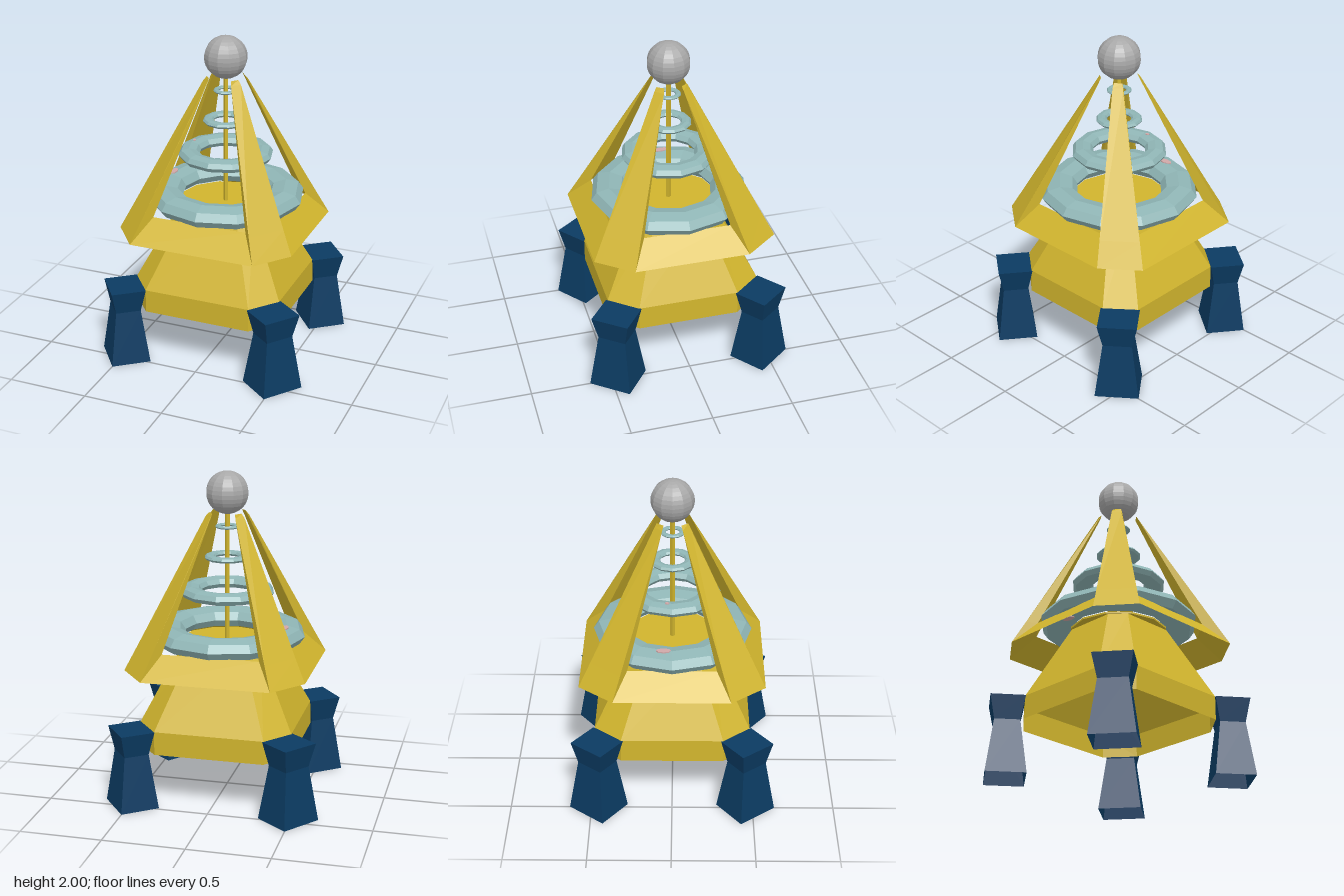
import * as THREE from 'three';

const mat = (name, color, side = THREE.FrontSide) => {
  const m = new THREE.MeshStandardMaterial({ color, flatShading: true, side });
  m.name = name;
  return m;
};

// Joins closed loops of points (counter-clockwise seen from above), listed bottom to top; the top can be capped.
function loft(loops, capTop) {
  const pos = [];
  const tri = (a, b, c) => pos.push(...a, ...b, ...c);
  const n = loops[0].length;
  for (let k = 0; k < loops.length - 1; k++) {
    const lo = loops[k], hi = loops[k + 1];
    for (let i = 0; i < n; i++) {
      const j = (i + 1) % n;
      tri(lo[i], lo[j], hi[j]);
      tri(lo[i], hi[j], hi[i]);
    }
  }
  const last = loops[loops.length - 1];
  for (let i = 1; capTop && i < n - 1; i++) tri(last[0], last[i], last[i + 1]);
  const g = new THREE.BufferGeometry();
  g.setAttribute('position', new THREE.Float32BufferAttribute(pos, 3));
  g.computeVertexNormals();
  return g;
}

// Mirrors loops into another quadrant, keeping the faces turned outwards.
const mirrored = (loops, sx, sz) => loops.map((loop) => {
  const l = loop.map(([x, y, z]) => [x * sx, y, z * sz]);
  return sx * sz < 0 ? l.reverse() : l;
});

// Square with cut corners: a, b are the front edge's half width and depth; c, d the side's.
const octagon = (y, a, b, c, d) => [
  [-a, y, b], [a, y, b], [c, y, d], [c, y, -d],
  [a, y, -b], [-a, y, -b], [-c, y, -d], [-c, y, d],
];

export function createModel() {
  const model = new THREE.Group();
  const yellow = mat('yellow', 0xd0b42d, THREE.DoubleSide);
  const blue = mat('dark blue', 0x0b3b62, THREE.DoubleSide);
  const teal = mat('pale teal', 0x8fb5b5);
  const grey = mat('grey', 0xa8a8a8);
  const pink = mat('pale pink', 0xd0a8a8);
  const add = (name, geometry, material) => {
    const mesh = new THREE.Mesh(geometry, material);
    mesh.name = name;
    model.add(mesh);
  };

  // Lower body, a shell open underneath, with the floor below the rings
  add('body', loft([
    octagon(0.34, 0.335, 0.475, 0.475, 0.31),
    octagon(0.485, 0.335, 0.475, 0.47, 0.31),
    octagon(0.94, 0.165, 0.245, 0.245, 0.155),
  ], false), yellow);
  add('floor', new THREE.CylinderGeometry(0.3, 0.3, 0.012, 12).translate(0, 0.944, 0), yellow);

  // Central rod and ball
  add('rod', new THREE.CylinderGeometry(0.015, 0.015, 0.83, 4).translate(0, 1.36, 0), yellow);
  add('ball', new THREE.SphereGeometry(0.13, 12, 16).translate(0, 1.87, 0), grey);

  // Flattened rings: height, radius, tube half width, tube half height
  for (const [y, radius, tube, half] of [
    [1.002, 0.375, 0.11, 0.065],
    [1.265, 0.226, 0.065, 0.038],
    [1.475, 0.107, 0.033, 0.018],
    [1.663, 0.058, 0.017, 0.01],
  ]) {
    const g = new THREE.TorusGeometry(radius, tube, 8, 12);
    g.rotateX(-Math.PI / 2).scale(1, half / tube, 1).translate(0, y, 0);
    add('ring', g, teal);
  }

  // Small pink spots on the two large rings: x, z, height, half width, half length
  for (const [x, z, y, w, l] of [
    [-0.37, -0.05, 1.066, 0.022, 0.045],
    [-0.37, -0.05, 0.938, 0.022, 0.045],
    [-0.22, -0.03, 1.302, 0.01, 0.014],
  ]) {
    add('spot', new THREE.CylinderGeometry(1, 1, 0.008, 8).scale(w, 1, l).translate(x, y, z), pink);
  }

  // Sloping skirt panels between the fins
  const panel = (p) => {
    const g = new THREE.BufferGeometry();
    g.setAttribute('position', new THREE.Float32BufferAttribute(p.flat(), 3));
    g.setIndex([0, 1, 2, 0, 2, 3]);
    g.computeVertexNormals();
    add('skirtPanel', g, yellow);
  };
  for (const s of [1, -1]) {
    panel([
      [-0.39 * s, 0.82, 0.56 * s], [0.39 * s, 0.82, 0.56 * s],
      [0.295 * s, 0.96, 0.425 * s], [-0.295 * s, 0.96, 0.425 * s]]);
    panel([
      [0.555 * s, 0.82, 0.35 * s], [0.555 * s, 0.82, -0.35 * s],
      [0.425 * s, 0.96, -0.265 * s], [0.425 * s, 0.96, 0.265 * s]]);
  }

  // Fin: wedge at the foot, thickest at the panel top, tapering to the tip
  const fin = [
    [[0.39, 0.82, 0.56], [0.555, 0.82, 0.35], [0.555, 0.82, 0.35], [0.39, 0.82, 0.56]],
    [[0.341, 0.96, 0.489], [0.487, 0.96, 0.305], [0.425, 0.96, 0.265], [0.295, 0.96, 0.425]],
    [[0.075, 1.73, 0.105], [0.12, 1.73, 0.06], [0.1, 1.755, 0.052], [0.07, 1.755, 0.092]],
  ];

  // Leg: waisted square post turned to face the corner, hollow underneath
  const out = [0.79, 0.613];
  const legLoop = (y, r, t) => [[1, -1], [1, 1], [-1, 1], [-1, -1]].map(([u, v]) => [
    0.485 + u * r * out[0] + v * t * out[1], y,
    0.455 + u * r * out[1] - v * t * out[0]]);
  const leg = [legLoop(0, 0.121, 0.133), legLoop(0.34, 0.077, 0.088), legLoop(0.485, 0.105, 0.118)];

  for (const sx of [1, -1]) {
    for (const sz of [1, -1]) {
      add('fin', loft(mirrored(fin, sx, sz), true), yellow);
      add('leg', loft(mirrored(leg, sx, sz), true), blue);
    }
  }
  return model;
}
